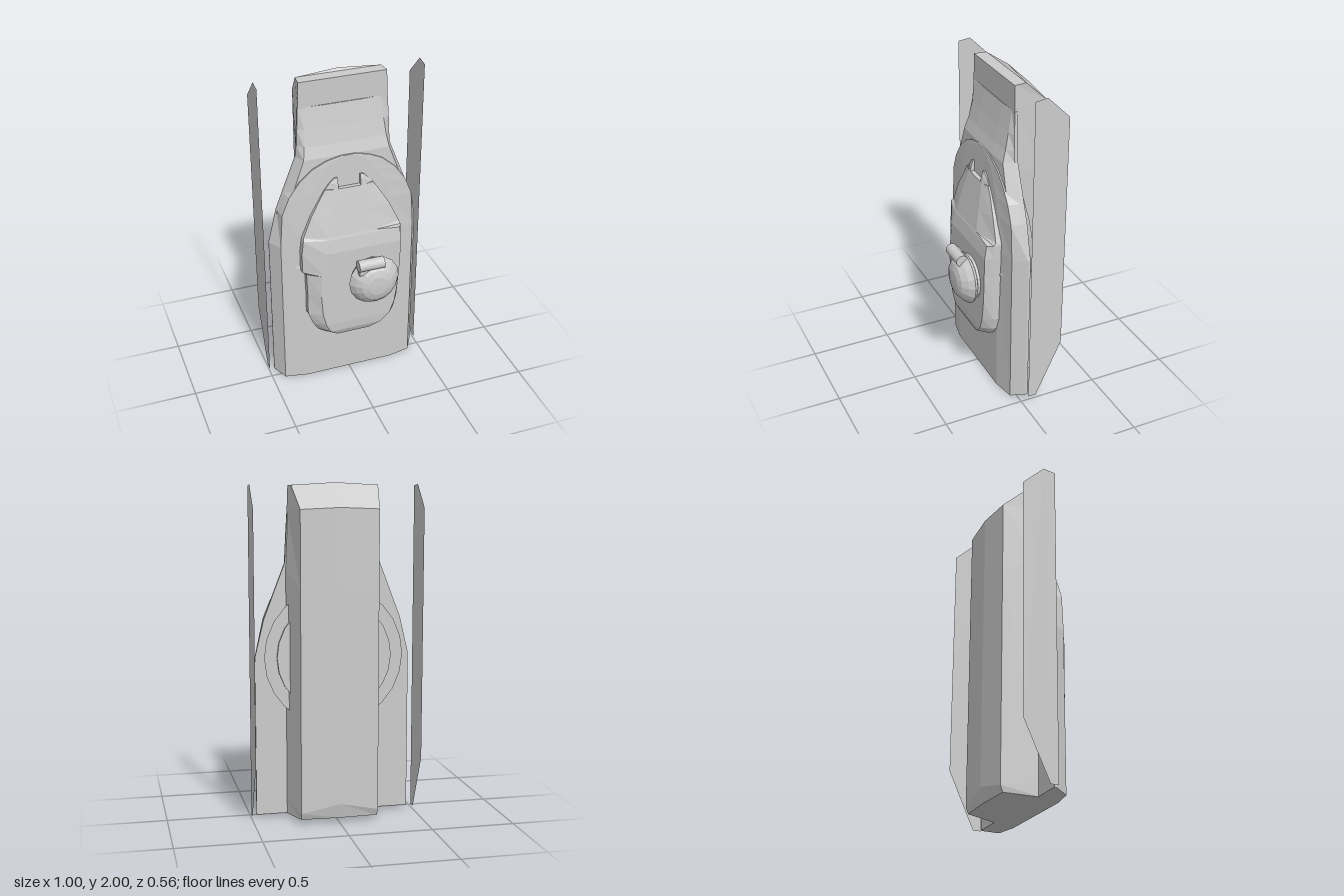
import * as THREE from 'three';

const grey = new THREE.MeshStandardMaterial({ color: 0xcccccc, flatShading: true });
const smooth = new THREE.MeshStandardMaterial({ color: 0xcccccc });
const thin = new THREE.MeshStandardMaterial({ color: 0xcccccc, side: THREE.DoubleSide });

// Closed loft through rings of [x, y, z], listed bottom to top, each running +x back, front, -x back
function loft(rings) {
  const n = rings[0].length, index = [];
  for (let i = 0; i < rings.length - 1; i++) {
    for (let j = 0; j < n; j++) {
      const a = i * n + j, b = i * n + (j + 1) % n;
      index.push(a, a + n, b + n, a, b + n, b);
    }
  }
  const top = (rings.length - 1) * n;
  for (let k = 1; k < n - 1; k++) index.push(0, k, k + 1, top, top + k + 1, top + k);
  const g = new THREE.BufferGeometry();
  g.setAttribute('position', new THREE.Float32BufferAttribute(rings.flat(2), 3));
  g.setIndex(index);
  g.computeVertexNormals();
  return g;
}

// Mirrors a half section of [x, y, z] to make a full ring
const mirrored = half => [...half, ...half.slice().reverse().map(([x, y, z]) => [-x, y, z])];

export function createModel() {
  const model = new THREE.Group();
  const add = (name, geometry, material = grey) => {
    const mesh = new THREE.Mesh(geometry, material);
    mesh.name = name;
    model.add(mesh);
    return mesh;
  };

  // Long hull with a ridged back, bevelled at both ends
  const hullRing = (xb, yb, zb, yp, zp, xf, yf) => [
    [xb, yb, zb], [xf, yf, -0.045], [-xf, yf, -0.045], [-xb, yb, zb], [0, yp, zp]];
  add('hull', loft([
    hullRing(0.23, 0.03, -0.25, 0.03, -0.26, 0.285, 0.015),
    hullRing(0.232, 0.07, -0.265, 0.12, -0.28, 0.285, 0.1),
    hullRing(0.232, 1.4, -0.265, 1.4, -0.28, 0.285, 1.5),
    hullRing(0.232, 1.85, -0.265, 1.86, -0.28, 0.27, 1.85),
    hullRing(0.258, 1.985, -0.12, 2, -0.135, 0.265, 1.985)]));

  // Shoulders easing from the deck into the hull: y, outer x, front x, front z
  add('shoulders', loft([
    [0.9, 0.46, 0.4, 0.03], [1.2, 0.415, 0.385, 0.03], [1.37, 0.35, 0.32, 0.028],
    [1.53, 0.288, 0.262, 0.022], [1.6, 0.284, 0.25, 0], [1.7, 0.279, 0.24, -0.022], [1.83, 0.272, 0.23, -0.046],
  ].map(([y, xo, xf, z]) => mirrored([[xo, y, -0.06], [xo, y, Math.min(-0.04, z)], [xf, y, z], [xf * 0.5, y, z + 0.006]]))));

  // Wide deck with an arched upper end: y, outer x, edge x, facet x, facet z
  add('deck', loft([
    [0, 0.468, 0.42, 0.28, 0.063], [0.98, 0.468, 0.42, 0.28, 0.06], [1.2, 0.415, 0.405, 0.26, 0.052],
    [1.31, 0.372, 0.36, 0.23, 0.048], [1.4, 0.33, 0.295, 0.18, 0.044], [1.47, 0.3, 0.215, 0.13, 0.041],
    [1.51, 0.285, 0.13, 0.08, 0.039], [1.53, 0.27, 0.04, 0.02, 0.038],
  ].map(([y, xo, xe, xc, zc]) => mirrored([
    [xo, y + (y ? 0 : 0.018), -0.06], [xe < 0.3 ? xe : xo, y + (y ? 0 : 0.015), -0.045],
    [xe, y, 0.036], [xc, y, zc]]))));

  // Flared disc behind the deck, with a thin cap
  const disc = (name, rBack, rFront, depth, z) => {
    const m = add(name, new THREE.CylinderGeometry(rFront, rBack, depth, 24));
    m.rotation.x = Math.PI / 2;
    m.position.set(0, 0.98, z);
  };
  disc('rearDisc', 0.42, 0.36, 0.05, -0.075);
  disc('rearDiscCap', 0.345, 0.345, 0.016, -0.108);

  // Flat skirts standing off each side
  const skirt = new THREE.Shape([
    [0.05, 0.02], [0.1, 0.02], [0.262, 0.37], [0.262, 1.855], [0.125, 1.99], [0.05, 1.98],
  ].map(p => new THREE.Vector2(...p)));
  for (const s of [-1, 1]) {
    const m = add(s > 0 ? 'leftSkirt' : 'rightSkirt', new THREE.ShapeGeometry(skirt), thin);
    m.rotation.y = Math.PI / 2;
    m.position.x = s * 0.499;
  }

  // Lopsided turret: y, base -x, top -x, top +x, base +x, top z, shoulder z
  add('turret', loft([
    [0.31, -0.08, -0.05, 0.06, 0.09, 0.1, 0.07], [0.33, -0.16, -0.1, 0.11, 0.17, 0.13, 0.08],
    [0.37, -0.215, -0.15, 0.18, 0.235, 0.148, 0.09], [0.43, -0.25, -0.18, 0.235, 0.28, 0.153, 0.1],
    [0.51, -0.28, -0.2, 0.265, 0.3, 0.153, 0.1], [0.65, -0.28, -0.21, 0.285, 0.305, 0.153, 0.1],
    [0.8, -0.285, -0.205, 0.295, 0.31, 0.153, 0.1], [0.82, -0.31, -0.2, 0.295, 0.31, 0.153, 0.1],
    [0.95, -0.31, -0.175, 0.3, 0.315, 0.152, 0.1], [1.035, -0.3, -0.155, 0.295, 0.315, 0.137, 0.1],
    [1.05, -0.295, -0.15, 0.14, 0.31, 0.132, 0.085], [1.18, -0.24, -0.125, 0.115, 0.25, 0.105, 0.075],
    [1.3, -0.17, -0.1, 0.095, 0.175, 0.08, 0.06], [1.335, -0.15, -0.09, 0.088, 0.15, 0.072, 0.058],
  ].map(([y, a, b, c, d, z, m]) => [
    [d, y, 0.02], [d, y, m], [c, y, z], [b, y, z], [a, y, m], [a, y, 0.02]])));

  // Pair of prongs leaving a notch at the turret tip
  for (const s of [-1, 1]) {
    const prong = [[1.33, 0.15, 0.073], [1.37, 0.12, 0.066], [1.4, 0.088, 0.055]].map(([y, xo, z]) => {
      const ring = [[xo, y, 0.02], [xo, y, 0.052], [0.09, y, z], [0.07, y, z], [0.07, y, 0.02]];
      return s > 0 ? ring : ring.reverse().map(([x, yy, zz]) => [-x, yy, zz]);
    });
    add(s > 0 ? 'leftProng' : 'rightProng', loft(prong));
    // Small pointed fin beside the turret
    add(s > 0 ? 'leftFin' : 'rightFin', new THREE.BufferGeometry().setFromPoints([
      [0.29, 0.81, 0.07], [0.37, 0.85, 0.04], [0.29, 0.87, 0.05],
    ].map(([x, y, z]) => new THREE.Vector3(s * x, y, z))), thin).geometry.computeVertexNormals();
  }

  // Domed cupola on a short neck
  const profile = [[0.135, 0], [0.135, 0.02], [0.152, 0.03], [0.16, 0.045], [0.135, 0.08], [0.1, 0.11], [0.06, 0.123], [0, 0.126]];
  const cupola = add('cupola', new THREE.LatheGeometry(profile.map(p => new THREE.Vector2(...p)), 16));
  cupola.rotation.x = Math.PI / 2;
  cupola.scale.z = 1.03;
  cupola.position.set(0.112, 0.735, 0.15);

  // Sight roller across the top of the cupola
  const roller = add('sightRoller', new THREE.CylinderGeometry(0.036, 0.036, 0.16, 16), smooth);
  roller.rotation.z = Math.PI / 2;
  roller.position.set(0.075, 0.878, 0.231);
  const mount = add('sightMount', new THREE.BoxGeometry(0.15, 0.07, 0.06));
  mount.position.set(0.075, 0.85, 0.215);

  return model;
}
